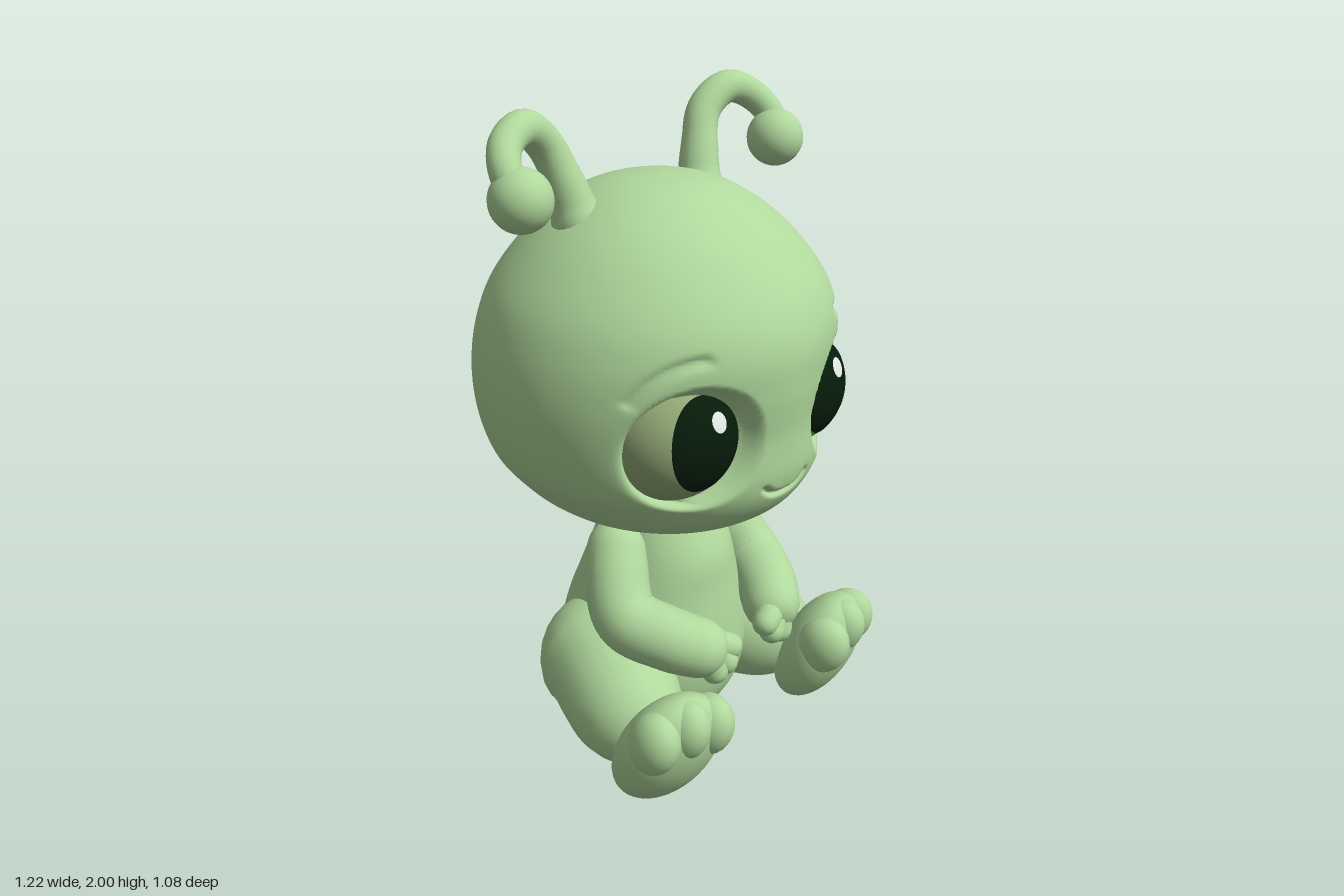
import * as THREE from 'three';
import { mergeVertices } from 'three/addons/utils/BufferGeometryUtils.js';

const V = (x, y, z) => new THREE.Vector3(x, y, z);
const paint = (name, color) => Object.assign(new THREE.MeshStandardMaterial({ color }), { name });
const skin = paint('softGreen', 0xb0d89c);
const sclera = paint('oliveEye', 0x94ab78);
const pupil = paint('darkPupil', 0x061c0a);
const glint = paint('whiteGlint', 0xe9ede9);

function add(parent, name, geometry, material = skin) {
  const mesh = new THREE.Mesh(geometry, material);
  mesh.name = name;
  parent.add(mesh);
  return mesh;
}

// Closed body of rings [y, halfWidth, front, back], listed from bottom to top
function loft(rings, rows, cols, shape) {
  const curve = (f) => new THREE.CatmullRomCurve3(rings.map(f), false, 'catmullrom', 0.5);
  const main = curve((r) => V(r[1], r[0], r[2]));
  const rear = curve((r) => V(r[3], r[0], 0));
  const pos = [], index = [];
  for (let i = 0; i <= rows; i++) {
    const m = main.getPoint(i / rows), b = rear.getPoint(i / rows);
    for (let j = 0; j < cols; j++) {
      const t = (j / cols) * Math.PI * 2;
      const a = t - 0.4 * Math.sin(t); // finer towards the face
      const c = Math.cos(a);
      const p = V(Math.max(0, m.x) * Math.sin(a), m.y, Math.max(0, c >= 0 ? m.z : b.x) * c);
      if (shape) shape(p);
      pos.push(p.x, p.y, p.z);
      if (i < rows) {
        const k = i * cols + j, n = i * cols + ((j + 1) % cols);
        index.push(k, n, k + cols, n, n + cols, k + cols);
      }
    }
  }
  const g = new THREE.BufferGeometry();
  g.setAttribute('position', new THREE.Float32BufferAttribute(pos, 3));
  g.setIndex(index);
  g.computeVertexNormals();
  return g;
}

// Tapered tube with rounded ends; s mirrors it in x
function limb(points, radii, s, segs = 48, sides = 24) {
  const curve = new THREE.CatmullRomCurve3(points.map((p) => V(p[0] * s, p[1], p[2])));
  const length = curve.getLength();
  let g = new THREE.TubeGeometry(curve, segs, 1, sides);
  const pos = g.attributes.position, v = V(0, 0, 0);
  for (let i = 0; i <= segs; i++) {
    const t = i / segs, c = curve.getPointAt(t), u = t * (radii.length - 1);
    const k = Math.min(Math.floor(u), radii.length - 2);
    let r = THREE.MathUtils.lerp(radii[k], radii[k + 1], u - k);
    const d = Math.min(t, 1 - t) * length;
    if (d < r) r *= Math.sqrt(Math.max(0, 1 - (1 - d / r) ** 2));
    for (let j = 0; j <= sides; j++) {
      const n = i * (sides + 1) + j;
      v.fromBufferAttribute(pos, n).sub(c).multiplyScalar(r).add(c);
      pos.setXYZ(n, v.x, v.y, v.z);
    }
  }
  g.deleteAttribute('uv');
  g.deleteAttribute('normal');
  g = mergeVertices(g, 1e-5);
  g.computeVertexNormals();
  return g;
}

// Eyeball, and the face rule that sinks sockets and creases
const EYE = V(0.25, 1.14, 0.266), EYE_R = 0.195;
const eyeZ = (x, y, r = EYE_R) =>
  EYE.z + Math.sqrt(Math.max(0, r ** 2 - (x - EYE.x) ** 2 - (y - EYE.y) ** 2));

const creasePath = (a, b, c) =>
  new THREE.QuadraticBezierCurve(new THREE.Vector2(...a), new THREE.Vector2(...b),
    new THREE.Vector2(...c)).getPoints(30);
const creases = [
  { path: creasePath([0, 0.94], [0.055, 0.936], [0.088, 0.972]), width: 0.009, depth: 0.018 },
  { path: creasePath([0.28, 1.395], [0.39, 1.39], [0.445, 1.29]), width: 0.013, depth: 0.016 },
];

function shapeFace(p) {
  if (p.z <= 0.1) return;
  const x = Math.abs(p.x);
  const dx = (x - 0.293) / 0.146, dy = (p.y - 1.135) / 0.15, e = Math.hypot(dx, dy);
  p.z -= 0.025 * Math.exp(-((e / 1.4) ** 2));
  if (e < 1.28) {
    const s = THREE.MathUtils.smoothstep(e, 0.88, 1.28);
    p.z = THREE.MathUtils.lerp(eyeZ(x, p.y, EYE_R - 0.015), p.z, s);
  }
  for (const { path, width, depth } of creases) {
    const d = Math.min(...path.map((q) => Math.hypot(q.x - x, q.y - p.y)));
    p.z -= depth * Math.exp(-((d / width) ** 2));
  }
}

// Thin elliptical plate lying on the eyeball
function eyePatch(cx, cy, rx, ry, lift, s) {
  const g = new THREE.RingGeometry(0.001, 1, 48, 10);
  const pos = g.attributes.position;
  for (let i = 0; i < pos.count; i++) {
    const x = cx + pos.getX(i) * rx, y = cy + pos.getY(i) * ry;
    pos.setXYZ(i, x, y, eyeZ(x * s, y) + lift);
  }
  g.computeVertexNormals();
  return g;
}

export function createModel() {
  const model = new THREE.Group();
  model.name = 'sittingAlien';

  add(model, 'head', loft([
    [0.75, 0, 0, 0], [0.758, 0.2, 0.22, 0.17], [0.79, 0.305, 0.335, 0.265],
    [0.85, 0.395, 0.43, 0.345], [0.92, 0.467, 0.485, 0.42], [1.0, 0.525, 0.51, 0.485],
    [1.12, 0.56, 0.513, 0.525], [1.25, 0.565, 0.525, 0.535], [1.38, 0.54, 0.52, 0.515],
    [1.5, 0.485, 0.47, 0.465], [1.63, 0.375, 0.36, 0.36], [1.72, 0.25, 0.23, 0.25],
    [1.765, 0.13, 0.12, 0.13], [1.78, 0, 0, 0],
  ], 170, 190, shapeFace));

  add(model, 'body', loft([
    [0, 0, 0, 0], [0.015, 0.14, 0.12, 0.12], [0.06, 0.23, 0.2, 0.23],
    [0.14, 0.28, 0.25, 0.305], [0.25, 0.3, 0.27, 0.335], [0.38, 0.285, 0.265, 0.305],
    [0.5, 0.255, 0.25, 0.255], [0.62, 0.22, 0.235, 0.205], [0.74, 0.195, 0.18, 0.15],
    [0.8, 0.18, 0.15, 0.13], [0.82, 0, 0, 0],
  ], 60, 64));

  for (const s of [1, -1]) {
    const side = s > 0 ? 'left' : 'right';

    // Eye
    add(model, side + 'Eyeball', new THREE.SphereGeometry(EYE_R, 48, 32), sclera)
      .position.set(EYE.x * s, EYE.y, EYE.z);
    add(model, side + 'Pupil', eyePatch(0.27 * s, 1.15, 0.119, 0.137, 0.004, s), pupil);
    add(model, side + 'EyeGlint',
      eyePatch(0.271 * s + 0.022, 1.218, 0.027, 0.027, 0.008, s), glint);

    // Antenna
    add(model, side + 'Antenna', limb([
      [0.245, 1.62, -0.055], [0.28, 1.78, -0.09], [0.33, 1.895, -0.115], [0.415, 1.95, -0.1],
      [0.5, 1.92, -0.075], [0.54, 1.86, -0.03], [0.53, 1.8, 0],
    ], [0.09, 0.063, 0.053, 0.051, 0.048, 0.045, 0.042], s));
    add(model, side + 'AntennaBall', new THREE.SphereGeometry(0.087, 32, 24))
      .position.set(0.525 * s, 1.795, 0.005);

    // Arm and hand
    add(model, side + 'Arm', limb([
      [0.17, 0.74, 0.0], [0.235, 0.64, 0.045], [0.286, 0.5, 0.13],
      [0.235, 0.45, 0.25], [0.115, 0.395, 0.39],
    ], [0.085, 0.096, 0.1, 0.096, 0.085], s));
    for (const [x, y, z] of [[0.052, 0.385, 0.375], [0.093, 0.335, 0.39], [0.15, 0.312, 0.38]]) {
      add(model, side + 'Finger',
        limb([[0.17, 0.44, 0.33], [(x + 0.17) / 2, (y + 0.45) / 2, 0.365], [x, y, z]],
          [0.045, 0.043, 0.039], s, 24, 16));
    }

    // Leg
    add(model, side + 'Leg', limb([
      [0.15, 0.255, -0.22], [0.225, 0.255, -0.02], [0.31, 0.21, 0.15], [0.36, 0.18, 0.34],
    ], [0.2, 0.208, 0.18, 0.14], s));

    // Foot tilted forward, with three toes sunk into its top edge
    const foot = new THREE.Group();
    foot.name = side + 'Foot';
    foot.position.set(0.37 * s, 0.197, 0.375);
    foot.rotation.set(0.45, 0.22 * s, 0);
    add(foot, 'sole', new THREE.SphereGeometry(1, 40, 28)).scale.set(0.17, 0.215, 0.112);
    for (const [x, y] of [[-0.095, 0.1], [0.002, 0.12], [0.097, 0.09]]) {
      const toe = add(foot, 'toe', new THREE.SphereGeometry(0.068, 28, 20));
      toe.position.set(x * s, y, 0.022);
      toe.scale.set(1.05, 1.5, 1.25);
    }
    model.add(foot);
  }
  return model;
}
